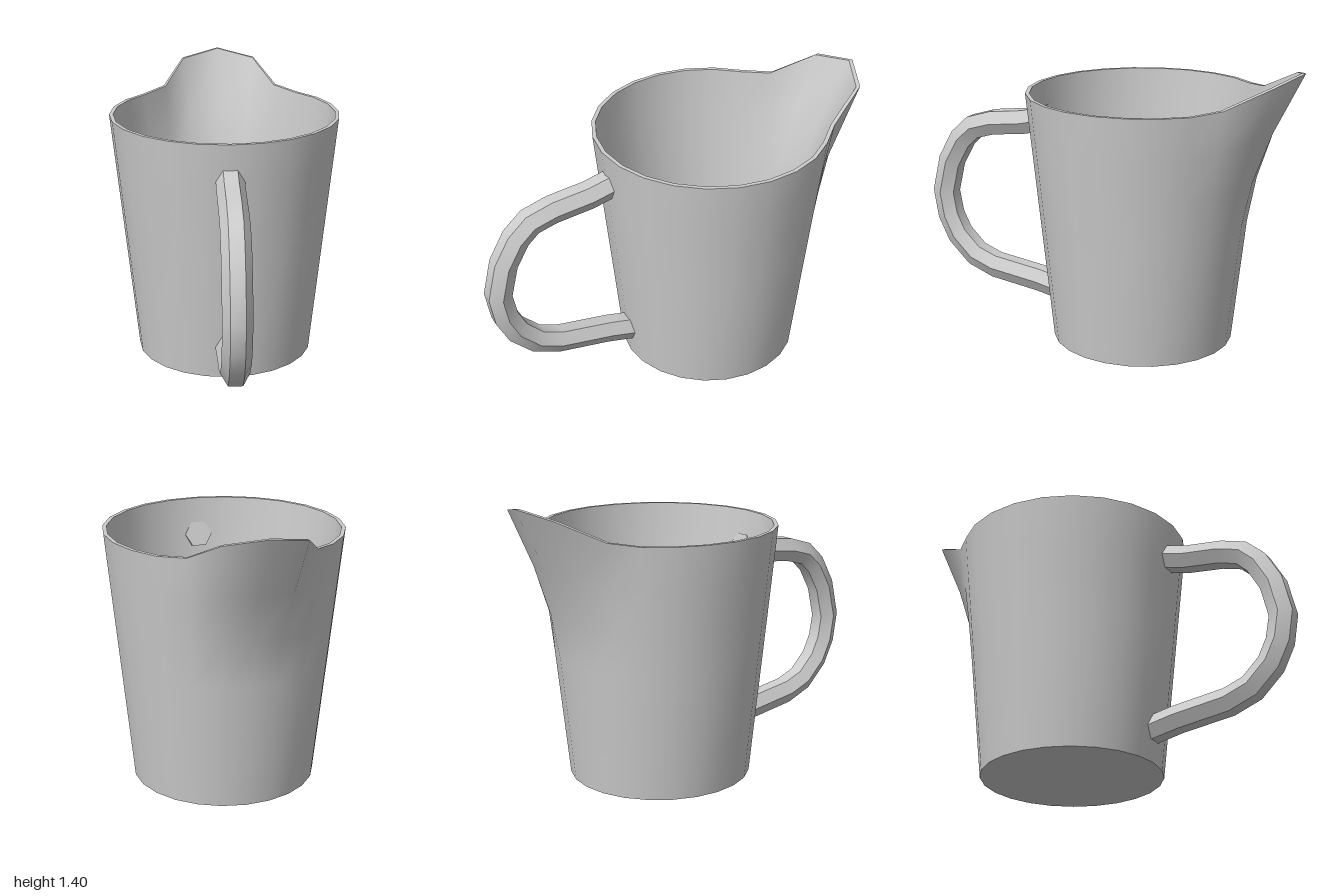
import * as THREE from 'three';
import { toCreasedNormals } from 'three/addons/utils/BufferGeometryUtils.js';

const SIDES = 24, HEIGHT = 1.245, BASE_R = 0.447, TOP_R = 0.576, WALL = 0.02, CENTRE_Z = -0.2;
const SPOUT_START = HEIGHT / 2;
const SPOUT_WEIGHTS = [1, 0.765, 0.1]; // pull on the columns at 0, 15 and 30 degrees

// Skins a list of closed rings of points
function skin(rings) {
  const n = rings[0].length, index = [];
  for (let j = 0; j < rings.length - 1; j++) {
    for (let i = 0; i < n; i++) {
      const k = (i + 1) % n;
      const a = j * n + i, b = j * n + k, c = a + n, d = b + n;
      index.push(a, c, b, b, c, d);
    }
  }
  const geometry = new THREE.BufferGeometry().setFromPoints(rings.flat());
  geometry.setIndex(index);
  geometry.computeVertexNormals();
  return geometry;
}

// One ring of the jug: tapered circle, drawn out and up at the back into a spout
function jugRing(y, inset, scale = 1) {
  const r = (THREE.MathUtils.lerp(BASE_R, TOP_R, y / HEIGHT) - inset) * scale;
  const t = Math.max(0, (y - SPOUT_START) / (HEIGHT - SPOUT_START)) ** 2;
  return Array.from({ length: SIDES }, (_, i) => {
    const angle = (i / SIDES) * Math.PI * 2;
    const pull = t * (SPOUT_WEIGHTS[Math.min(i, SIDES - i)] ?? 0);
    const radius = r + 0.224 * pull;
    return new THREE.Vector3(
      radius * Math.sin(angle), y + 0.157 * pull, CENTRE_Z - radius * Math.cos(angle));
  });
}

// Hexagonal bar swept along [z, y] points, closed at both ends
function handleGeometry(path, radius) {
  const points = path.map(([z, y]) => new THREE.Vector3(0, y, z));
  const xAxis = new THREE.Vector3(1, 0, 0);
  const rings = points.map((p, i) => {
    const tangent = points[Math.min(i + 1, points.length - 1)].clone()
      .sub(points[Math.max(i - 1, 0)]).normalize();
    const normal = tangent.cross(xAxis);
    return Array.from({ length: 6 }, (_, k) => {
      const a = (-k / 6) * Math.PI * 2;
      return p.clone().addScaledVector(xAxis, radius * Math.cos(a))
        .addScaledVector(normal, radius * Math.sin(a));
    });
  });
  const cap = (p) => Array.from({ length: 6 }, () => p.clone());
  return toCreasedNormals(skin([cap(points[0]), ...rings, cap(points.at(-1))]), 0.75);
}

export function createModel() {
  const group = new THREE.Group();
  const material = new THREE.MeshStandardMaterial({ color: 0xcccccc });
  const add = (name, geometry) => {
    const mesh = new THREE.Mesh(geometry, material);
    mesh.name = name;
    group.add(mesh);
  };

  // Body: separate skins keep the rim and base edges sharp
  const step = (HEIGHT - SPOUT_START) / 3;
  const levels = [SPOUT_START, SPOUT_START + step, SPOUT_START + 2 * step, HEIGHT];
  add('outerWall', skin([0, ...levels].map((y) => jugRing(y, 0))));
  add('innerWall', skin([WALL, ...levels].reverse().map((y) => jugRing(y, WALL))));
  add('rim', skin([jugRing(HEIGHT, 0), jugRing(HEIGHT, WALL)]));
  add('base', skin([jugRing(0, 0, 0), jugRing(0, 0)]));
  add('floor', skin([jugRing(WALL, WALL), jugRing(WALL, WALL, 0)]));

  // Handle: both ends pass just through the wall
  add('handle', handleGeometry([
    [0.32, 1.065], [0.45, 1.03], [0.64, 1.005], [0.755, 0.97], [0.83, 0.9], [0.9, 0.775],
    [0.94, 0.605], [0.917, 0.475], [0.865, 0.37], [0.765, 0.273], [0.645, 0.228],
    [0.38, 0.193], [0.22, 0.16],
  ], 0.069));

  return group;
}
